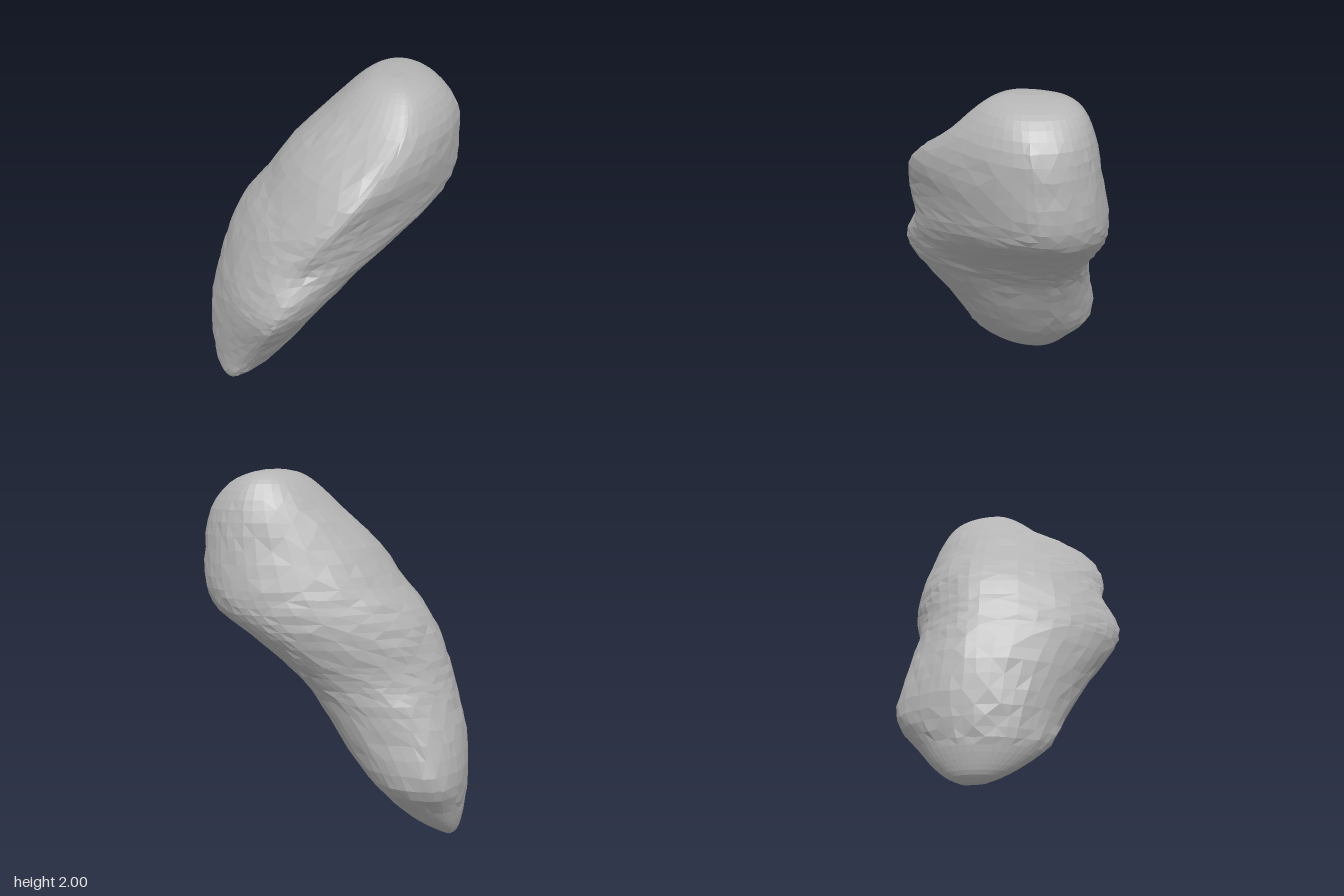
import * as THREE from 'three';

// Horizontal slices: height, left x, right x, front ridge (x, z), back ridge (x, z)
const slices = [
  [0.00, -0.64, -0.60, -0.62, -0.08, -0.62, -0.20],
  [0.03, -0.67, -0.55, -0.62, 0.00, -0.61, -0.26],
  [0.10, -0.69, -0.42, -0.60, 0.11, -0.58, -0.34],
  [0.20, -0.705, -0.30, -0.56, 0.22, -0.54, -0.42],
  [0.36, -0.715, -0.155, -0.49, 0.29, -0.50, -0.54],
  [0.60, -0.70, 0.00, -0.39, 0.42, -0.42, -0.52],
  [0.80, -0.65, 0.12, -0.31, 0.545, -0.26, -0.505],
  [0.90, -0.625, 0.20, -0.27, 0.58, -0.15, -0.505],
  [1.01, -0.59, 0.31, -0.22, 0.57, -0.01, -0.53],
  [1.15, -0.535, 0.475, -0.15, 0.54, 0.16, -0.575],
  [1.28, -0.46, 0.645, -0.08, 0.52, 0.28, -0.59],
  [1.40, -0.36, 0.705, 0.00, 0.51, 0.34, -0.58],
  [1.60, -0.215, 0.71, 0.18, 0.45, 0.38, -0.54],
  [1.80, -0.01, 0.68, 0.36, 0.23, 0.40, -0.50],
  [1.93, 0.13, 0.58, 0.38, 0.09, 0.39, -0.44],
  [1.98, 0.21, 0.48, 0.37, 0.01, 0.37, -0.37],
  [2.00, 0.30, 0.39, 0.35, -0.07, 0.35, -0.26],
];
const PER_QUARTER = 11, COLS = PER_QUARTER * 4, STEPS = 3;

// Quarter arc from a ridge to a side; e and f above 1 pinch it at the ridge and at the side
function quarter(ridge, side, t, e, f) {
  const a = t * Math.PI / 2;
  return [
    ridge[0] + (side[0] - ridge[0]) * Math.pow(Math.sin(a), e),
    side[1] + (ridge[1] - side[1]) * Math.pow(Math.max(0, Math.cos(a)), f),
  ];
}

// One point of a slice, running front, right, back, left
function slicePoint([y, xLeft, xRight, frontX, frontZ, backX, backZ], col) {
  const left = [xLeft, -0.13], front = [frontX, frontZ], back = [backX, backZ];
  const right = [xRight, -0.17 - 0.09 * Math.sin(Math.PI * y / 2)];
  const t = (col % PER_QUARTER) / PER_QUARTER;
  // The front right of the upper half is flatter
  const flat = THREE.MathUtils.smoothstep(y, 1.1, 1.4) - THREE.MathUtils.smoothstep(y, 1.7, 2);
  const [x, z] = [
    () => quarter(front, right, t, 1.4 + 0.2 * flat, 1 + 0.4 * flat),
    () => quarter(back, right, 1 - t, 0.9, 1),
    () => quarter(back, left, t, 1, 1),
    () => quarter(front, left, 1 - t, 1.3, 1),
  ][Math.floor(col / PER_QUARTER)]();
  // Small nick in the front ridge
  const nick = z > 0 ? 0.05 * Math.exp(-150 * ((x + 0.13) ** 2 + (y - 1.18) ** 2)) : 0;
  return new THREE.Vector3(x, y, z - nick);
}

function boulderGeometry() {
  let seed = 7;
  const random = () => (seed = (seed * 16807) % 2147483647) / 2147483647;
  const rows = (slices.length - 1) * STEPS;
  const positions = [], index = [], columns = [];
  for (let c = 0; c < COLS; c++) {
    columns.push(new THREE.CatmullRomCurve3(slices.map((s) => slicePoint(s, c))));
  }
  // Skin with slight unevenness away from the ends
  for (let r = 0; r <= rows; r++) {
    const rough = r > 8 && r < rows - 8 ? 0.008 : 0;
    for (let c = 0; c < COLS; c++) {
      const p = columns[c].getPoint(r / rows);
      positions.push(...p.toArray().map((v) => v + (random() - 0.5) * rough));
    }
  }
  for (let r = 0; r < rows; r++) {
    for (let c = 0; c < COLS; c++) {
      const a = r * COLS + c, b = r * COLS + (c + 1) % COLS;
      const d = a + COLS, e = b + COLS;
      if ((r + c) % 2) index.push(a, b, e, a, e, d);
      else index.push(a, b, d, b, e, d);
    }
  }
  // End caps
  const top = rows * COLS, n = positions.length / 3;
  positions.push(-0.62, 0, -0.14, 0.35, 2, -0.16);
  for (let c = 0; c < COLS; c++) {
    const next = (c + 1) % COLS;
    index.push(n, next, c, n + 1, top + c, top + next);
  }
  const geometry = new THREE.BufferGeometry();
  geometry.setAttribute('position', new THREE.Float32BufferAttribute(positions, 3));
  geometry.setIndex(index);
  geometry.computeVertexNormals();
  return geometry;
}

export function createModel() {
  const group = new THREE.Group();
  group.name = 'rock';
  const stone = new THREE.MeshStandardMaterial({ color: 0xb4b4b4, flatShading: true });
  stone.name = 'grey stone';
  const boulder = new THREE.Mesh(boulderGeometry(), stone);
  boulder.name = 'boulder';
  group.add(boulder);
  return group;
}
